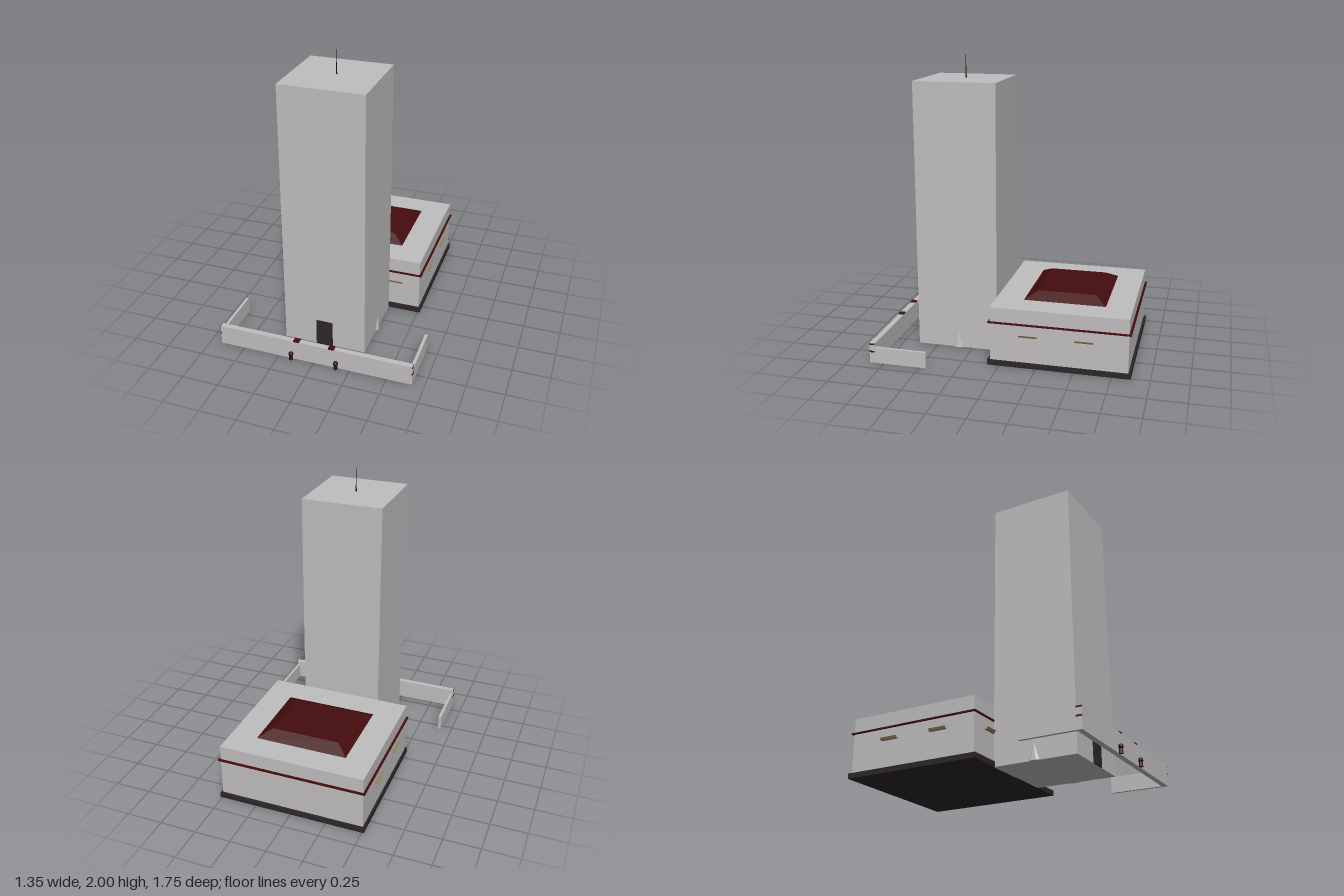
import * as THREE from 'three';

const mat = (name, color) => {
  const m = new THREE.MeshStandardMaterial({ color });
  m.name = name;
  return m;
};

export function createModel() {
  const model = new THREE.Group();
  model.name = 'towerAndHall';
  const stone = mat('paleStone', 0xc0bebe);
  const red = mat('darkRed', 0x450c0d);
  const dark = mat('charcoal', 0x2c2628);
  const black = mat('black', 0x141213);
  const tan = mat('tan', 0x9c8a5e);

  const add = (name, geo, material, x = 0, y = 0, z = 0) => {
    const mesh = new THREE.Mesh(geo, material);
    mesh.name = name;
    mesh.position.set(x, y, z);
    model.add(mesh);
    return mesh;
  };
  // Box given by its minimum and maximum on each axis
  const box = (name, material, x0, x1, y0, y1, z0, z1) =>
    add(name, new THREE.BoxGeometry(x1 - x0, y1 - y0, z1 - z0), material,
      (x0 + x1) / 2, (y0 + y1) / 2, (z0 + z1) / 2);
  // Rectangular frustum built from a four-sided cylinder
  const frustum = (wTop, dTop, wBot, dBot, h) => {
    const g = new THREE.CylinderGeometry(Math.SQRT1_2, Math.SQRT1_2, h, 4, 1).toNonIndexed();
    g.rotateY(Math.PI / 4);
    const p = g.attributes.position;
    for (let i = 0; i < p.count; i++) {
      const top = p.getY(i) > 0;
      p.setX(i, p.getX(i) * (top ? wTop : wBot));
      p.setZ(i, p.getZ(i) * (top ? dTop : dBot));
    }
    g.computeVertexNormals();
    return g;
  };

  // Tower and its mast
  box('tower', stone, -0.283, 0.283, 0, 1.843, 0.073, 0.638);
  add('mastBase', new THREE.CylinderGeometry(0.004, 0.005, 0.045, 8), black, 0, 1.865, 0.355);
  add('mast', new THREE.CylinderGeometry(0.0015, 0.0025, 0.115, 8), black, 0, 1.9425, 0.355);

  // Front door, slightly bowed outward
  const doorPlan = new THREE.Shape([[-0.057, 0], [0.057, 0], [0.045, -0.005], [0.015, -0.011],
    [-0.015, -0.011], [-0.045, -0.005]].map(([x, y]) => new THREE.Vector2(x, y)));
  const doorGeo = new THREE.ExtrudeGeometry(doorPlan, { depth: 0.03, bevelEnabled: false });
  doorGeo.rotateX(-Math.PI / 2);
  add('doorStep', doorGeo, dark, 0, 0, 0.638);
  box('door', dark, -0.057, 0.057, 0, 0.187, 0.637, 0.645);

  // Pointed buttresses on the tower sides
  for (const s of [-1, 1]) {
    const b = new THREE.ConeGeometry(1, 0.12, 6).toNonIndexed();
    b.scale(0.015, 1, 0.036);
    b.computeVertexNormals();
    add('buttress', b, stone, s * 0.283, 0.06, 0.352);
  }

  // Hall with plinth, trim band and hipped roof
  box('plinth', dark, -0.515, 0.515, 0, 0.035, -0.875, 0.08);
  box('hall', stone, -0.502, 0.502, 0.035, 0.403, -0.858, 0.063);
  box('trimBand', red, -0.516, 0.516, 0.296, 0.305, -0.873, 0.075);
  add('hallRoof', frustum(0.47, 0.39, 0.636, 0.556, 0.048), red, 0, 0.426, -0.403);

  // Curved awnings on the hall sides and front
  const lip = new THREE.Shape([[0, -0.009], [0.018, -0.007], [0.026, 0.008], [0.022, 0.008],
    [0.015, -0.002], [0, -0.003]].map(([x, y]) => new THREE.Vector2(x, y)));
  const awningGeo = new THREE.ExtrudeGeometry(lip, { depth: 0.124, bevelEnabled: false });
  awningGeo.translate(0, 0, -0.062);
  for (const s of [-1, 1]) {
    for (const z of [-0.197, -0.567]) {
      add('sideAwning', awningGeo, tan, s * 0.5, 0.224, z).rotation.y = s > 0 ? 0 : Math.PI;
    }
    add('frontAwning', awningGeo, tan, s * 0.318, 0.224, 0.061).rotation.y = -Math.PI / 2;
  }

  // Forecourt wall with side wings
  box('frontWall', stone, -0.67, 0.67, 0, 0.138, 0.812, 0.849);
  for (const s of [-1, 1]) {
    const x = s * 0.66;
    box('wallWing', stone, x - 0.01, x + 0.01, 0, 0.11, 0.455, 0.812);
    const e = s * 0.67;
    box('endStripe', red, e - 0.003, e + 0.003, 0.075, 0.085, 0.813, 0.85);
    box('endStripe', red, e - 0.002, e + 0.002, 0.128, 0.1375, 0.813, 0.85);
    const c = s * 0.122;
    box('wallCap', red, c - 0.02, c + 0.02, 0.136, 0.145, 0.812, 0.85);
    // Small guardian figure: red base and black round head
    add('figureBase', new THREE.CylinderGeometry(0.011, 0.014, 0.035, 10), red, s * 0.157, 0.0175, 0.86);
    add('figureHead', new THREE.SphereGeometry(0.017, 12, 8), black, s * 0.157, 0.042, 0.859);
  }
  return model;
}
